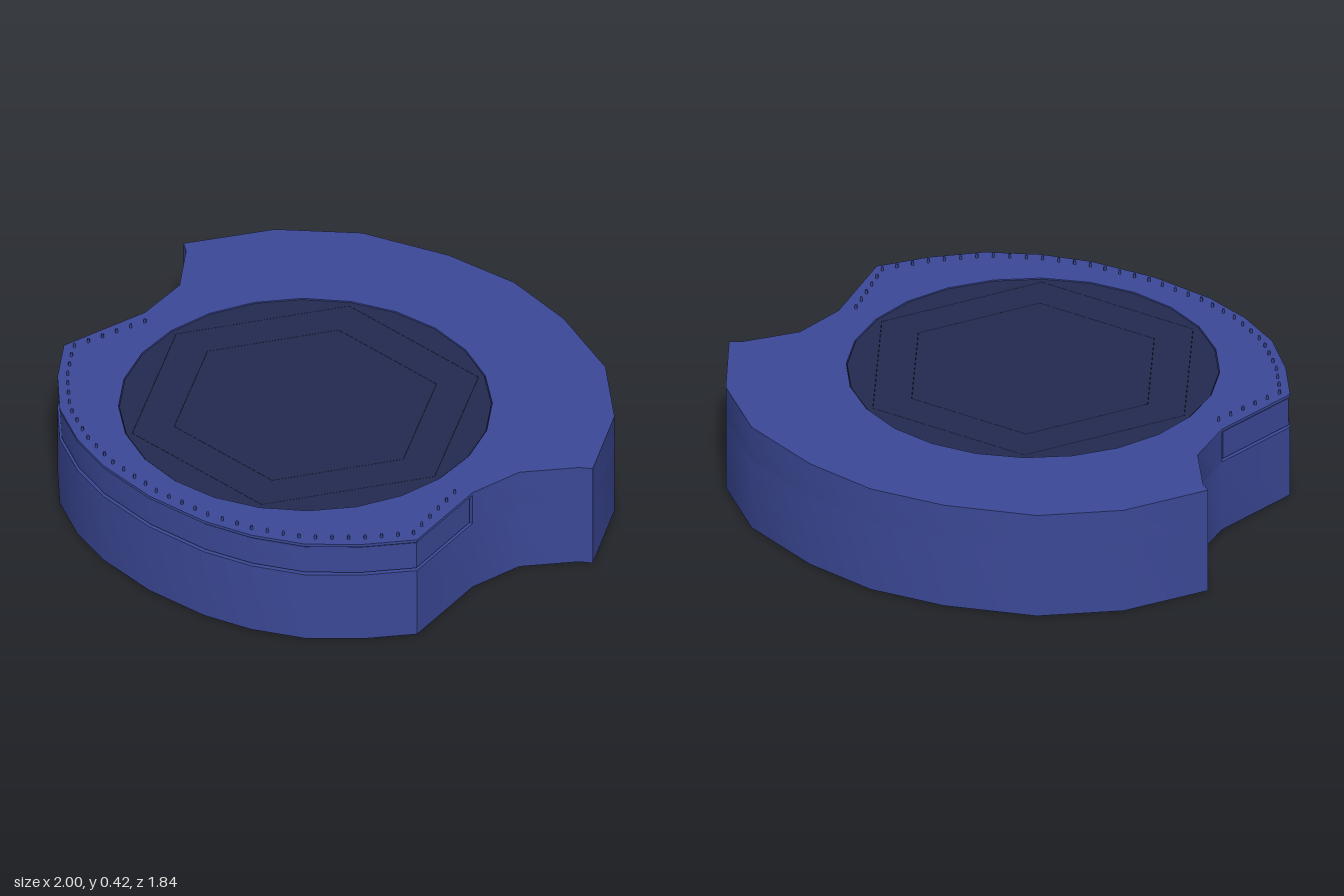
import * as THREE from 'three';
import { toCreasedNormals } from 'three/addons/utils/BufferGeometryUtils.js';

const CZ = 0.132; // z of the bore axis

// Right-hand halves of the outline as [x, z]
const backHalf = [[0, -0.919], [0.28, -0.88], [0.595, -0.767], [0.83, -0.57], [1, -0.285],
  [0.96, -0.257], [0.83, -0.09], [0.8, 0.115]];
const frontHalf = [[0.863, 0.459], [0.745, 0.613], [0.6, 0.751], [0.425, 0.843], [0.247, 0.896], [0, 0.919]];

// Pull a point towards the bore axis
const inset = (d) => ([x, z]) => {
  const k = 1 - d / Math.hypot(x, z - CZ);
  return [x * k, CZ + (z - CZ) * k];
};

// Mirror a half outline that starts and ends on x = 0
const mirrored = (half) => [...half, ...half.slice(1, -1).reverse().map(([x, z]) => [-x, z])];

// Regular polygon around the bore axis, with corners on +x and -x
const ring = (sides, r) => Array.from({ length: sides }, (_, i) => {
  const a = (i / sides) * Math.PI * 2;
  return [r * Math.cos(a), CZ + r * Math.sin(a)];
});

// Plan points to shape points, running anticlockwise
const toVec = (pts) => pts.map(([x, z]) => new THREE.Vector2(x, -z)).reverse();

export function createModel() {
  const model = new THREE.Group();
  const blue = new THREE.MeshStandardMaterial({ color: 0x3b4896 });
  const dark = new THREE.MeshStandardMaterial({ color: 0x222a50 });

  // Upright slab from y0 to y1, optionally with a hole
  function slab(name, outline, hole, y0, y1, material) {
    const shape = new THREE.Shape(toVec(outline));
    if (hole) shape.holes.push(new THREE.Path(toVec(hole).reverse()));
    const raw = new THREE.ExtrudeGeometry(shape, { depth: y1 - y0, bevelEnabled: false });
    raw.rotateX(-Math.PI / 2);
    raw.translate(0, y0, 0);
    const mesh = new THREE.Mesh(toCreasedNormals(raw, 0.6), material);
    mesh.name = name;
    model.add(mesh);
  }

  // Winged body in three layers; the middle one is set back around the front
  const full = mirrored([...backHalf, ...frontHalf]);
  const recessed = mirrored([...backHalf, [0.782, 0.115], ...frontHalf.map(inset(0.018))]);
  const bore = ring(24, 0.656);
  slab('lowerBody', full, bore, 0.003, 0.274, blue);
  slab('recessedBand', recessed, bore, 0.274, 0.394, blue);
  slab('topRim', full, bore, 0.394, 0.405, blue);

  // Raised strip lying in the recess, leaving a narrow groove around it
  const strip = mirrored([...backHalf.slice(0, -1).map(inset(0.05)), [0.775, 0.127], [0.796, 0.127],
    ...frontHalf.map(inset(0.007))]);
  slab('frontStrip', strip, bore, 0.281, 0.388, blue);

  // Round insert with a hexagonal socket open at the bottom
  const plug = ring(24, 0.653);
  slab('socketWall', plug, ring(6, 0.632), 0, 0.388, dark);

  // Top plate, split by two hairline hexagonal seams
  slab('outerPlate', plug, ring(6, 0.632), 0.388, 0.402, dark);
  slab('middlePlate', ring(6, 0.631), ring(6, 0.479), 0.388, 0.402, dark);
  slab('innerPlate', ring(6, 0.478), null, 0.388, 0.402, dark);

  // Row of tiny studs along the front rim
  const half = [[0.757, 0.16], ...frontHalf.map(inset(0.035))];
  const path = new THREE.Path(toVec([...half, ...half.slice(0, -1).reverse().map(([x, z]) => [-x, z])]));
  const studGeometry = new THREE.CylinderGeometry(0.005, 0.005, 0.018, 8);
  const studs = new THREE.Group();
  studs.name = 'rimStuds';
  for (const p of path.getSpacedPoints(44)) {
    const stud = new THREE.Mesh(studGeometry, blue);
    stud.name = 'stud';
    stud.position.set(p.x, 0.411, -p.y);
    studs.add(stud);
  }
  model.add(studs);

  return model;
}
